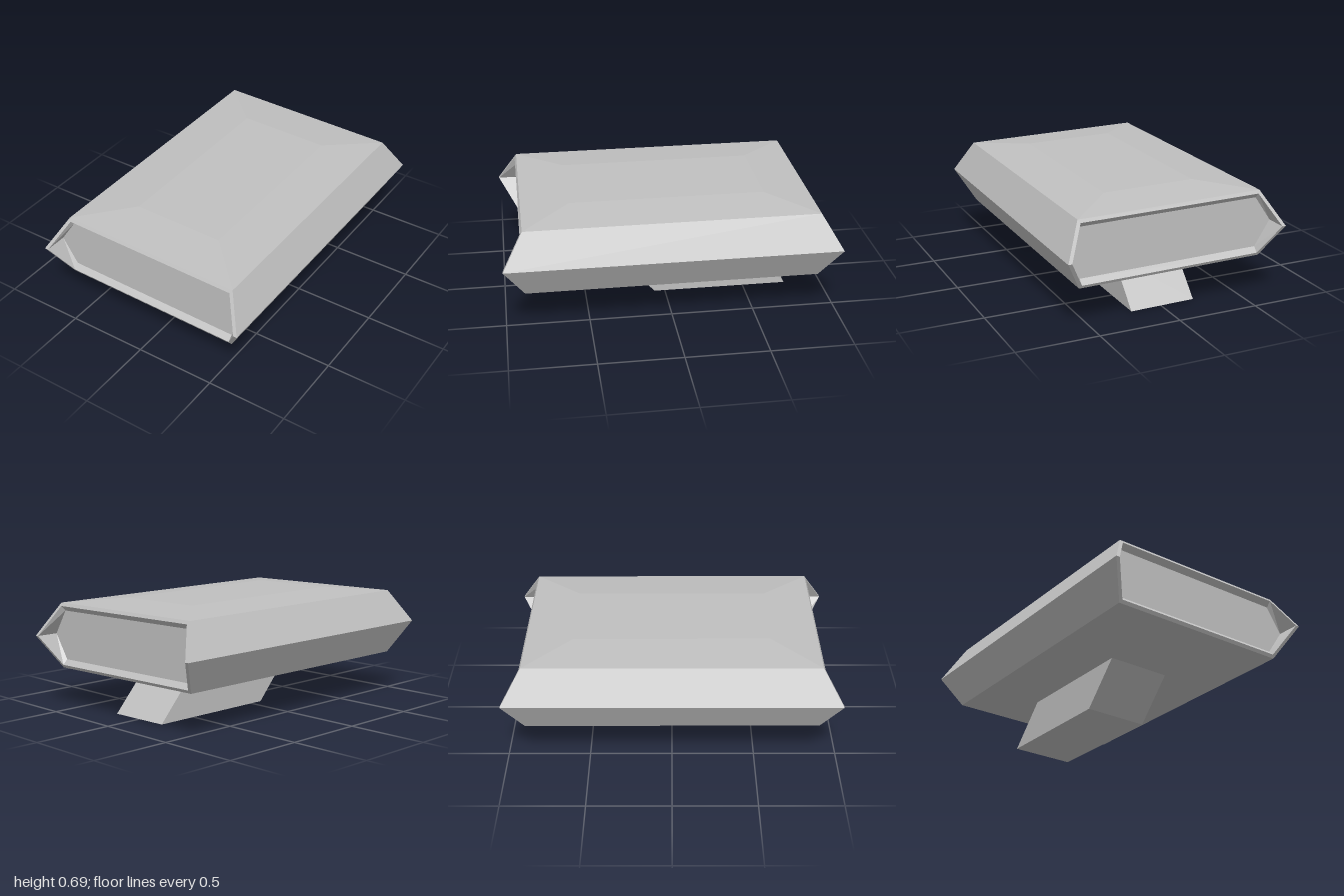
import * as THREE from 'three';

const gray = new THREE.MeshStandardMaterial({ color: 0xc0c0c0 });
gray.name = 'gray';

// Six-sided loop, counter-clockwise seen from +z; depth gives z from y.
function hexLoop(side, corner, height, depth) {
  return [[side, 0], [corner, height], [-corner, height], [-side, 0], [-corner, -height], [corner, -height]]
    .map(([x, y]) => new THREE.Vector3(x, y, depth(y)));
}

function rectLoop(x, y, zFront, zBack) {
  return [[x, zFront], [x, zBack], [-x, zBack], [-x, zFront]].map(([px, pz]) => new THREE.Vector3(px, y, pz));
}

// Quads joining two loops, optionally leaving one out
function band(a, b, skip = -1) {
  const faces = [];
  a.forEach((p, i) => {
    const j = (i + 1) % a.length;
    if (i !== skip) faces.push([p, b[i], b[j], a[j]]);
  });
  return faces;
}

// Flat-shaded mesh from convex polygons
function facetMesh(name, faces) {
  const points = [];
  for (const f of faces) {
    for (let i = 1; i < f.length - 1; i++) points.push(f[0], f[i], f[i + 1]);
  }
  const geometry = new THREE.BufferGeometry().setFromPoints(points);
  geometry.computeVertexNormals();
  const mesh = new THREE.Mesh(geometry, gray);
  mesh.name = name;
  return mesh;
}

export function createModel() {
  const model = new THREE.Group();
  model.name = 'model';
  const body = new THREE.Group();
  body.name = 'body';
  body.position.y = 0.46;
  body.rotation.z = -0.0157;
  model.add(body);

  // Hull, open on top where the roof sits
  const bevel = (s) => (y) => s * (1 - 0.6 * Math.abs(y));
  const outer = (s) => hexLoop(0.685, 0.575, 0.202, bevel(s));
  body.add(facetMesh('hull', band(outer(1), outer(-1), 1)));

  // Raised roof with sloping borders
  const eaves = rectLoop(0.575, 0.202, 0.879, -0.879);
  const crown = rectLoop(0.285, 0.229, 0.59, -0.59);
  body.add(facetMesh('roof', [...band(eaves, crown).map((f) => f.reverse()), crown]));

  // Both ends: angled rim, recess walls and sunken panel
  for (const [s, label] of [[1, 'front'], [-1, 'back']]) {
    const rim = hexLoop(0.662, 0.562, 0.183, bevel(s));
    const panel = hexLoop(0.662, 0.562, 0.152, () => s * 0.86);
    const orient = (faces) => (s > 0 ? faces : faces.map((f) => f.reverse()));
    body.add(
      facetMesh(label + 'Rim', orient(band(rim, outer(s)))),
      facetMesh(label + 'RecessWalls', orient(band(panel, rim))),
      facetMesh(label + 'Panel', orient([panel])),
    );
  }

  // Foot slanting backward
  const footTop = rectLoop(0.203, -0.2, 0.3, -0.535);
  const footBottom = rectLoop(0.203, -0.456, 0.065, -0.77);
  const foot = band(footBottom, footTop).map((f) => f.reverse());
  body.add(facetMesh('foot', [...foot, footBottom.slice().reverse()]));

  return model;
}
